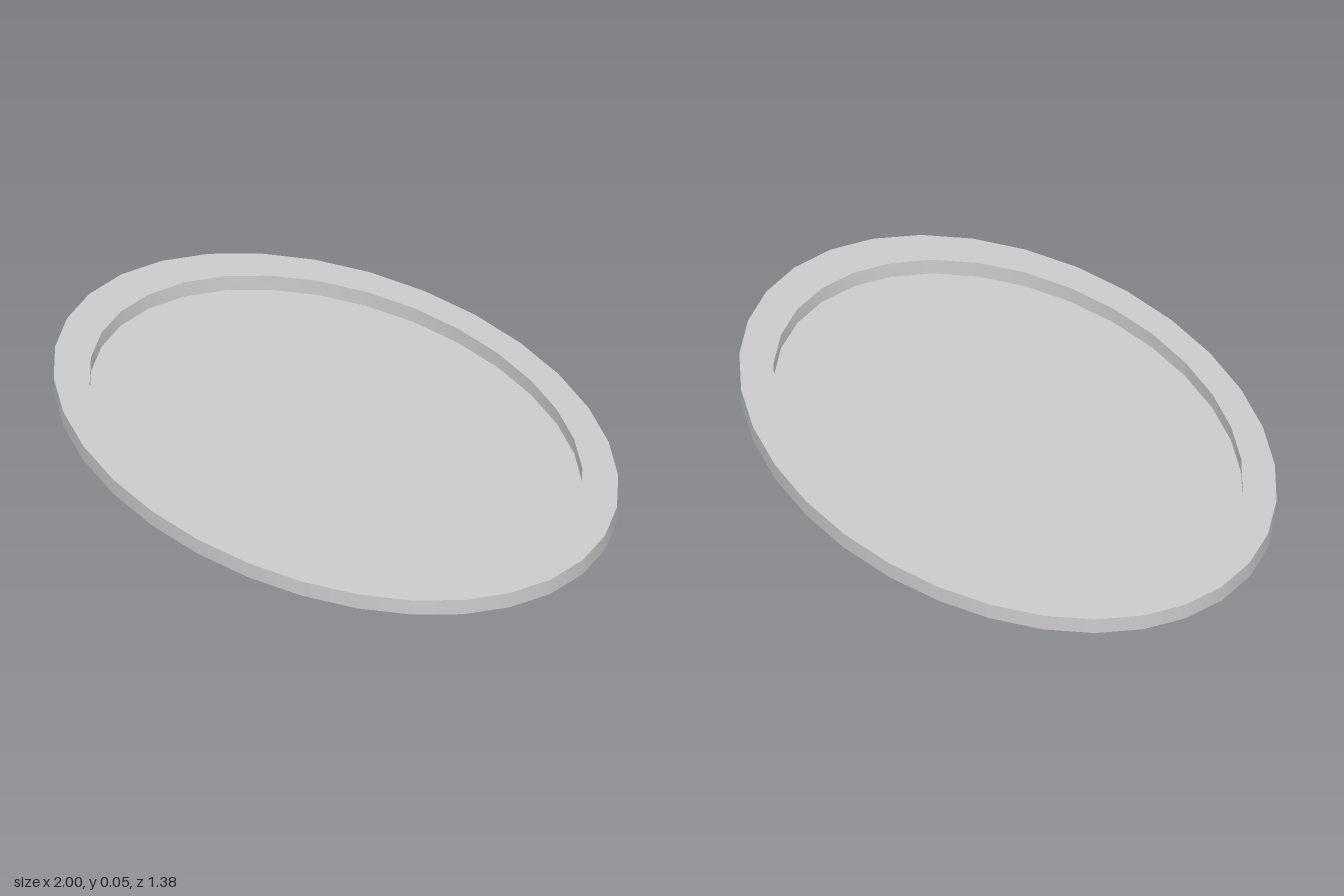
import * as THREE from 'three';

const SEGMENTS = 32;
const HEIGHT = 0.05;
const OUTER = { x: 1, z: 0.688 };
const INNER = { x: 0.87, z: 0.603 };

// Corner points of an oval, counter-clockwise
function ovalPoints({ x, z }) {
  return Array.from({ length: SEGMENTS }, (_, i) => {
    const a = (i / SEGMENTS) * Math.PI * 2;
    return new THREE.Vector2(Math.cos(a) * x, Math.sin(a) * z);
  });
}

// Open upright oval band standing on y = 0
function ovalWall({ x, z }) {
  return new THREE.CylinderGeometry(1, 1, HEIGHT, SEGMENTS, 1, true)
    .scale(x, 1, z)
    .translate(0, HEIGHT / 2, 0);
}

export function createModel() {
  const group = new THREE.Group();
  group.name = 'ovalTray';
  const material = new THREE.MeshStandardMaterial({ color: 0xcccccc, side: THREE.DoubleSide });

  const add = (name, geometry) => {
    const mesh = new THREE.Mesh(geometry, material);
    mesh.name = name;
    group.add(mesh);
  };

  // Thin shell: outer skirt, flat rim, inner wall and sunken floor; hollow under the rim
  add('outerWall', ovalWall(OUTER));

  const rim = new THREE.Shape(ovalPoints(OUTER));
  rim.holes.push(new THREE.Path(ovalPoints(INNER).reverse()));
  add('rim', new THREE.ShapeGeometry(rim).rotateX(-Math.PI / 2).translate(0, HEIGHT, 0));

  // Turned inside out so that its front faces the middle of the tray
  const innerWall = ovalWall(INNER);
  const index = innerWall.index;
  for (let i = 0; i < index.count; i += 3) {
    const b = index.getX(i + 1);
    index.setX(i + 1, index.getX(i + 2));
    index.setX(i + 2, b);
  }
  innerWall.computeVertexNormals();
  add('innerWall', innerWall);

  add('floor', new THREE.ShapeGeometry(new THREE.Shape(ovalPoints(INNER))).rotateX(-Math.PI / 2));

  return group;
}
